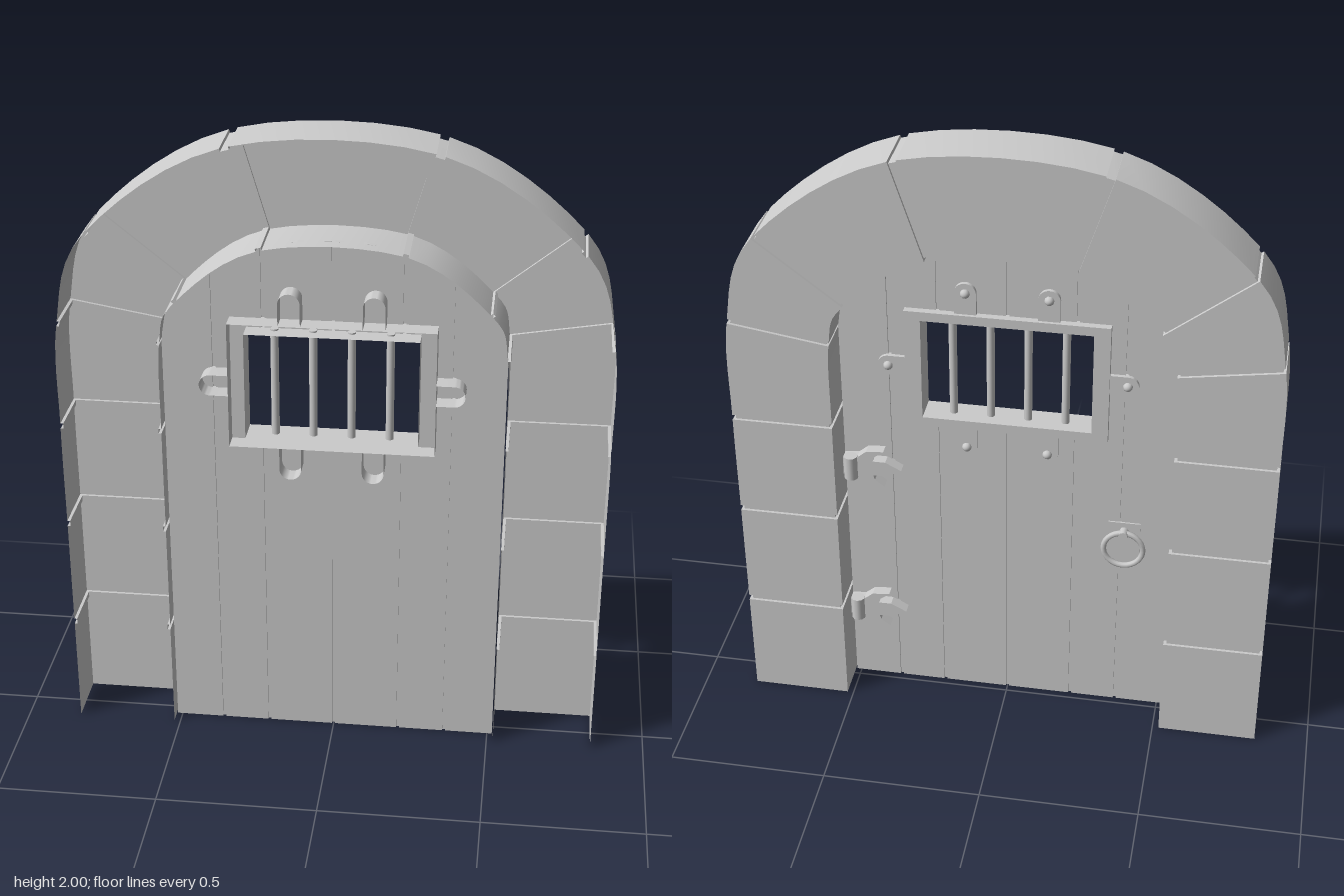
import * as THREE from 'three';
import { toCreasedNormals } from 'three/addons/utils/BufferGeometryUtils.js';

const grey = new THREE.MeshStandardMaterial({ color: 0xcccccc, side: THREE.DoubleSide });
const BACK = -0.097, FRONT = 0.08, RIM = 0.097;
const DOOR_BACK = 0.024, DOOR_FRONT = 0.038;

function add(parent, name, geometry, x = 0, y = 0, z = 0) {
  const mesh = new THREE.Mesh(geometry, grey);
  mesh.name = name;
  mesh.position.set(x, y, z);
  parent.add(mesh);
}

const shapeOf = pts => new THREE.Shape(pts.map(p => new THREE.Vector2(p[0], p[1])));
const rect = (x, y) => [[-x, -y], [x, -y], [x, y], [-x, y]];
const extrude = (shape, depth) =>
  new THREE.ExtrudeGeometry(shape, { depth, bevelEnabled: false, curveSegments: 8 });

// Extrusion without its +z cap: a hollow pressed shell
function shell(shape, depth) {
  const src = extrude(shape, depth), p = src.attributes.position, out = [];
  for (let i = 0; i < p.count; i += 3) {
    if ([0, 1, 2].every(k => p.getZ(i + k) > depth - 1e-5)) continue;
    for (let k = 0; k < 3; k++) out.push(p.getX(i + k), p.getY(i + k), p.getZ(i + k));
  }
  const g = new THREE.BufferGeometry();
  g.setAttribute('position', new THREE.Float32BufferAttribute(out, 3));
  return toCreasedNormals(g, 0.6);
}

// Joints of the stone surround on the +x half, mirrored into full curves
const innerHalf = [[0.52, 0], [0.52, 0.36], [0.52, 0.72], [0.52, 1.06], [0.515, 1.35], [0.464, 1.485], [0.212, 1.657]];
const outerHalf = [[0.832, 0], [0.832, 0.36], [0.832, 0.72], [0.832, 1.06], [0.822, 1.4], [0.722, 1.69], [0.306, 1.963]];
const mirrored = half => new THREE.SplineCurve(
  [...half, ...[...half].reverse().map(([x, y]) => [-x, y])].map(p => new THREE.Vector2(p[0], p[1])));

// Stones and recessed joints swept as a channel open towards +z
function surroundGeometry() {
  const inner = mirrored(innerHalf), outer = mirrored(outerHalf);
  const stones = innerHalf.length * 2 - 1, steps = 6, inset = 0.009, rings = [];
  const station = (u, d) => {
    const a = inner.getPoint(u / stones), b = outer.getPoint(u / stones);
    const dir = b.clone().sub(a).normalize().multiplyScalar(d);
    a.add(dir);
    b.sub(dir);
    rings.push([[b.x, b.y, FRONT], [b.x, b.y, BACK + d], [a.x, a.y, BACK + d], [a.x, a.y, FRONT]]);
  };
  for (let k = 0; k < stones; k++) {
    const u0 = k === 0 ? 0 : k + 0.025, u1 = k === stones - 1 ? stones : k + 0.975;
    if (k > 0) station(u0, inset);
    for (let i = 0; i <= steps; i++) station(u0 + (u1 - u0) * i / steps, 0);
    if (k < stones - 1) station(u1, inset);
  }
  const pos = [];
  for (let i = 0; i < rings.length - 1; i++) {
    for (let j = 0; j < 3; j++) {
      const a = rings[i][j], b = rings[i][j + 1], c = rings[i + 1][j + 1], d = rings[i + 1][j];
      pos.push(...a, ...b, ...c, ...a, ...c, ...d);
    }
  }
  const g = new THREE.BufferGeometry();
  g.setAttribute('position', new THREE.Float32BufferAttribute(pos, 3));
  return toCreasedNormals(g, 0.5);
}

// Height of the door's arched top at x
const archKnots = [[0, 1.679], [0.11, 1.674], [0.212, 1.657], [0.361, 1.579], [0.464, 1.485], [0.505, 1.425], [0.517, 1.345]];
function archY(x) {
  const ax = Math.abs(x);
  const i = Math.max(1, archKnots.findIndex(k => k[0] >= ax - 1e-6));
  const [x0, y0] = archKnots[i - 1], [x1, y1] = archKnots[i];
  return y0 + (y1 - y0) * (ax - x0) / (x1 - x0);
}
function strip(x0, x1, bottom, top) {
  const pts = [[x0, bottom], [x1, bottom]], n = 12;
  for (let i = 0; i <= n; i++) {
    const x = x1 + (x0 - x1) * i / n;
    pts.push([x, top === undefined ? archY(x) : top]);
  }
  return shapeOf(pts);
}

// Door recessed behind the open side of the stones
function buildDoor() {
  const door = new THREE.Group();
  door.name = 'door';
  const depth = DOOR_FRONT - DOOR_BACK, g = 0.005;
  // Planks, cut around the window
  for (const s of [-1, 1]) {
    const plank = (a, b, y0, y1) => add(door, 'plank',
      extrude(strip(Math.min(a * s, b * s), Math.max(a * s, b * s), y0, y1), depth), 0, 0, DOOR_BACK);
    plank(0.36 + g, 0.516, 0);
    plank(0.26, 0.36 - g, 0);
    for (const [a, b] of [[g, 0.21 - g], [0.21 + g, 0.26]]) {
      plank(a, b, 0, 1.06);
      plank(a, b, 1.4);
    }
  }
  // Sheet closing the grooves between planks
  const sheet = strip(-0.51, 0.51, 0);
  sheet.holes.push(new THREE.Path(rect(0.26, 0.17).map(([x, y]) => new THREE.Vector2(x, y + 1.23))));
  add(door, 'grooveBacking', new THREE.ShapeGeometry(sheet), 0, 0, (DOOR_BACK + DOOR_FRONT) / 2);
  return door;
}

function buildWindow() {
  const win = new THREE.Group();
  win.name = 'barredWindow';
  win.position.y = 1.23;
  const frame = shapeOf(rect(0.31, 0.2)), faceZ = 0.002, tabZ = 0.012;
  frame.holes.push(shapeOf(rect(0.26, 0.17)));
  add(win, 'windowFrame', shell(frame, RIM - faceZ), 0, 0, faceZ);
  for (let i = 0; i < 4; i++)
    add(win, 'bar', new THREE.CylinderGeometry(0.0125, 0.0125, 0.35, 10), -0.174 + i * 0.115, 0, 0.05);

  // Round-ended fixing tabs with rivets
  const tab = (x, y, length, angle) => {
    const r = 0.033, s = new THREE.Shape();
    s.moveTo(-r, 0);
    s.lineTo(r, 0);
    s.lineTo(r, length - r);
    s.absarc(0, length - r, r, 0, Math.PI);
    s.closePath();
    const group = new THREE.Group();
    group.name = 'fixingTab';
    group.position.set(x, y, 0);
    group.rotation.z = angle;
    add(group, 'tabPlate', shell(s, RIM - tabZ), 0, 0, tabZ);
    const rivet = new THREE.SphereGeometry(0.015, 10, 4, 0, Math.PI * 2, 0, Math.PI / 2);
    add(group, 'rivet', rivet.rotateX(-Math.PI / 2), 0, length - r, tabZ);
    win.add(group);
  };
  for (const s of [-1, 1]) {
    tab(s * 0.125, 0.2, 0.103, 0);
    tab(s * 0.125, -0.2, 0.103, Math.PI);
    tab(s * 0.31, 0, 0.087, -s * Math.PI / 2);
  }
  return win;
}

// Strap hinge with a three-pointed leaf
function buildHinge(y) {
  const hinge = new THREE.Group();
  hinge.name = 'hinge';
  hinge.position.y = y;
  const half = [[0.515, 0.03], [0.47, 0.035], [0.44, 0.06], [0.385, 0.065], [0.415, 0.042], [0.42, 0.026], [0.38, 0.026]];
  const leaf = [...half, [0.33, 0], ...[...half].reverse().map(([x, v]) => [x, -v])];
  add(hinge, 'hingeLeaf', extrude(shapeOf(leaf), 0.04), 0, 0, -0.012);
  add(hinge, 'hingeBarrel', new THREE.CylinderGeometry(0.022, 0.022, 0.08, 10), 0.49, 0, -0.012);
  return hinge;
}

function buildHandle() {
  const handle = new THREE.Group();
  handle.name = 'ringHandle';
  handle.position.set(-0.37, 0.635, 0);
  add(handle, 'handlePlate', new THREE.BoxGeometry(0.1, 0.16, 0.006), 0, 0.01, 0.022);
  add(handle, 'handleKnob', new THREE.CylinderGeometry(0.014, 0.014, 0.036, 10).rotateX(Math.PI / 2), 0, 0.06, 0.006);
  add(handle, 'pullRing', new THREE.TorusGeometry(0.062, 0.009, 8, 28), 0, 0, 0.004);
  return handle;
}

export function createModel() {
  const model = new THREE.Group();
  model.name = 'archedDoorway';
  add(model, 'stoneSurround', surroundGeometry());
  model.add(buildDoor(), buildWindow(), buildHinge(0.3), buildHinge(0.86), buildHandle());
  return model;
}
